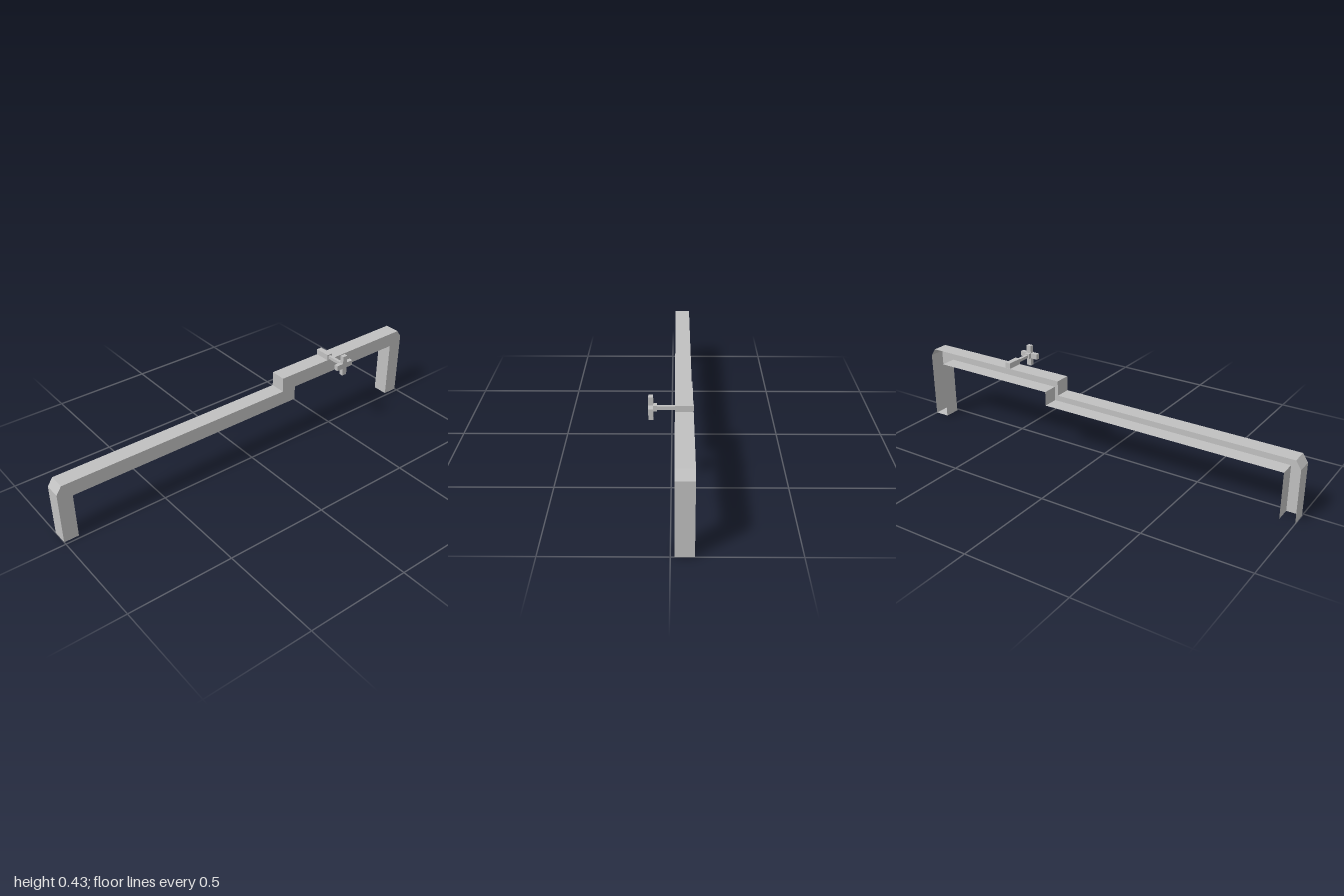
import * as THREE from 'three';

const FRONT = -0.015, BACK = -0.092;

// Outline of the stepped bracket, from the right-hand foot round to the left-hand foot
const OUTLINE = [
  [-0.93, 0], [-0.93, 0.22], [0.275, 0.22], [0.275, 0.29], [0.927, 0.29],
  [0.927, 0], [1, 0], [1, 0.325], [0.975, 0.362], [0.2, 0.362],
  [0.2, 0.29], [-0.975, 0.29], [-1, 0.253], [-1, 0],
];

export function createModel() {
  const steel = new THREE.MeshStandardMaterial({ color: 0xc0c0c0, side: THREE.DoubleSide });
  steel.name = 'grey steel';
  const model = new THREE.Group();
  model.name = 'bracket';

  const add = (name, geometry, parent = model) => {
    const mesh = new THREE.Mesh(geometry, steel);
    mesh.name = name;
    parent.add(mesh);
    return mesh;
  };

  // Front face of the channel
  const shape = new THREE.Shape(OUTLINE.map(([x, y]) => new THREE.Vector2(x, y)));
  add('frontPlate', new THREE.ShapeGeometry(shape)).position.z = FRONT;

  // Thin side walls follow the outline; the back and one foot stay open
  const corners = [];
  for (let i = 0; i < OUTLINE.length - 1; i++) {
    const [ax, ay] = OUTLINE[i], [bx, by] = OUTLINE[i + 1];
    const a = [ax, ay, FRONT], b = [bx, by, FRONT];
    const c = [bx, by, BACK], d = [ax, ay, BACK];
    corners.push(...a, ...d, ...c, ...a, ...c, ...b);
  }
  const walls = new THREE.BufferGeometry();
  walls.setAttribute('position', new THREE.Float32BufferAttribute(corners, 3));
  walls.computeVertexNormals();
  add('channelWalls', walls);

  // Clamp screw: block on the rail, stem, hub and cross handle
  const screw = new THREE.Group();
  screw.name = 'clampScrew';
  screw.position.set(0.496, 0.3765, 0);
  model.add(screw);
  const box = (name, w, h, z0, z1) => {
    add(name, new THREE.BoxGeometry(w, h, z1 - z0), screw).position.z = (z0 + z1) / 2;
  };
  box('railBlock', 0.028, 0.028, BACK, FRONT);
  box('stem', 0.015, 0.015, FRONT, 0.057);
  box('hub', 0.026, 0.026, 0.057, 0.073);

  // Cross handle as one plus-shaped plate
  const arm = 0.051, half = 0.0135;
  const plus = new THREE.Shape();
  for (let i = 0; i < 4; i++) {
    const c = Math.round(Math.cos(i * Math.PI / 2)), s = Math.round(Math.sin(i * Math.PI / 2));
    for (const [x, y] of [[arm, -half], [arm, half], [half, half]]) {
      const px = (x * c - y * s) * 0.95, py = x * s + y * c;
      if (i === 0 && x === arm && y < 0) plus.moveTo(px, py);
      else plus.lineTo(px, py);
    }
  }
  plus.closePath();
  const handle = new THREE.ExtrudeGeometry(plus, { depth: 0.02, bevelEnabled: false });
  add('crossHandle', handle, screw).position.z = 0.073;

  return model;
}
